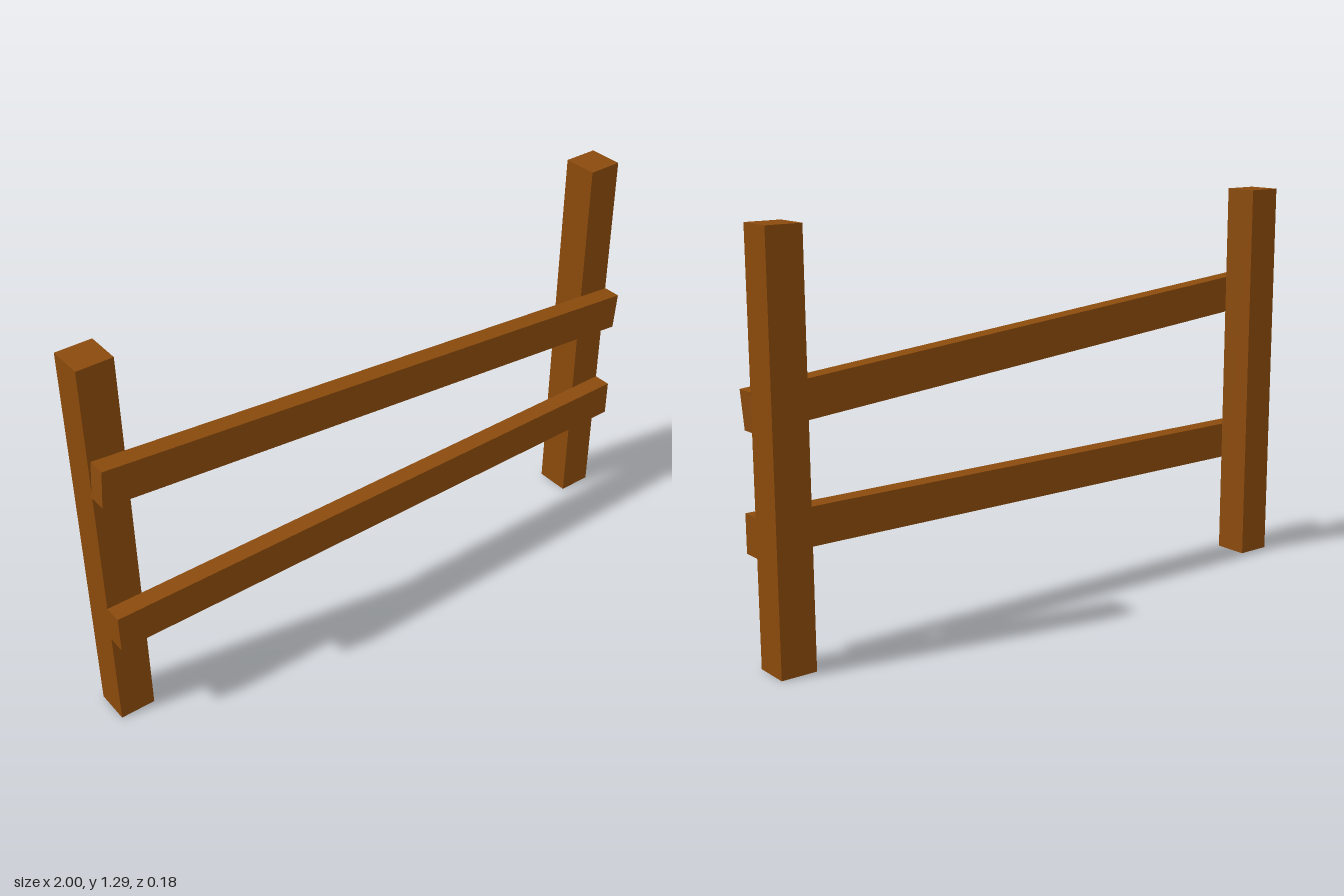
import * as THREE from 'three';

export function createModel() {
  const group = new THREE.Group();
  const wood = new THREE.MeshStandardMaterial({ color: 0x8a4a0c, flatShading: true });

  const addBeam = (name, size, position, tilt = 0) => {
    const beam = new THREE.Mesh(new THREE.BoxGeometry(...size), wood);
    beam.name = name;
    beam.position.set(...position);
    beam.rotation.z = tilt;
    group.add(beam);
  };

  // Two square upright posts
  const postWidth = 0.116, postHeight = 1.295;
  for (const [name, side] of [['leftPost', 1], ['rightPost', -1]]) {
    addBeam(name, [postWidth, postHeight, postWidth], [side * 0.939, postHeight / 2, -0.03]);
  }

  // Level lower rail and sagging upper rail, fixed to the front of the posts
  const railSize = [1.994, 0.122, 0.06];
  addBeam('lowerRail', railSize, [0, 0.396, 0.058]);
  addBeam('upperRail', railSize, [0, 0.8475, 0.058], -THREE.MathUtils.degToRad(5));

  return group;
}
